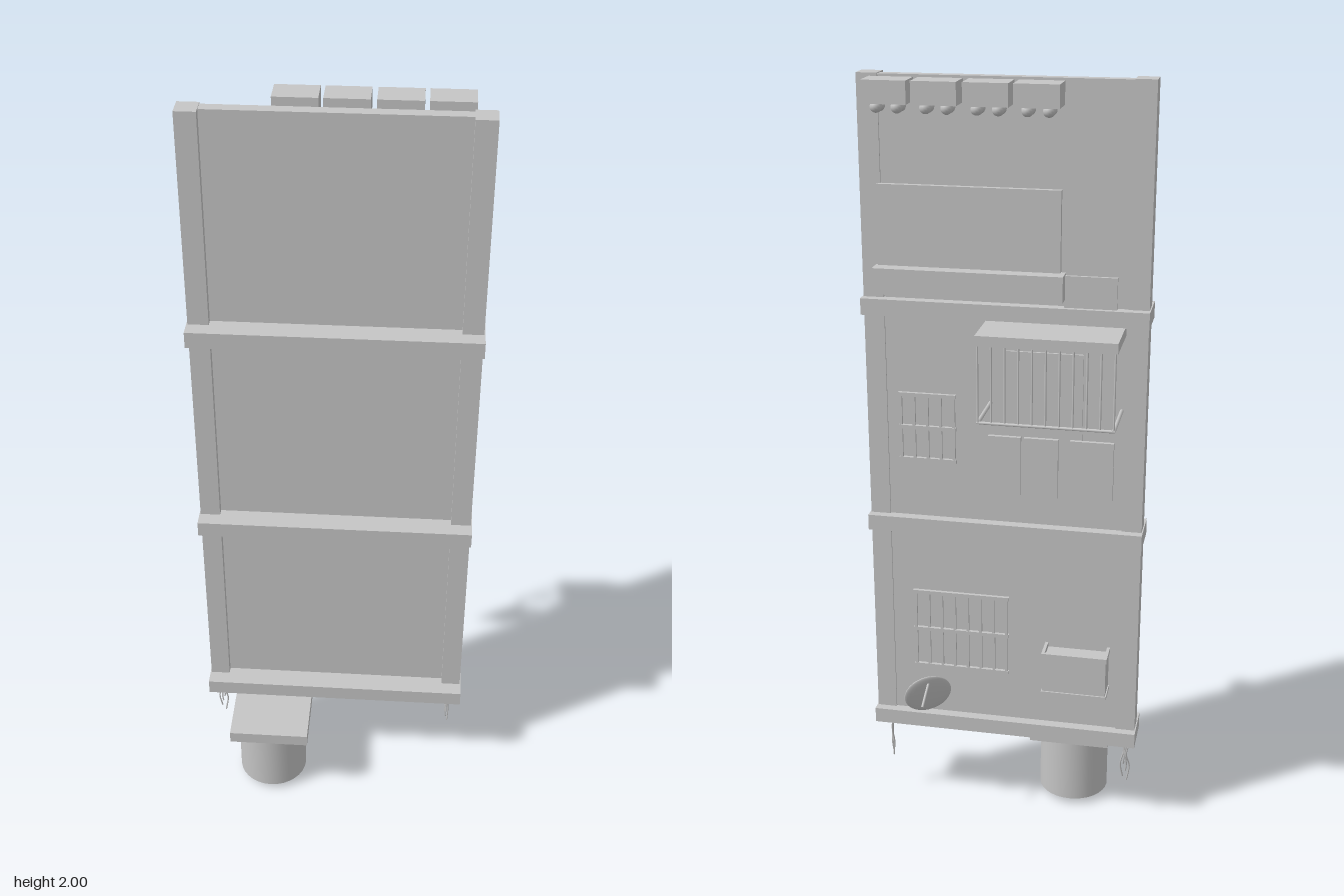
import * as THREE from 'three';

export function createModel() {
  const model = new THREE.Group();
  const grey = new THREE.MeshStandardMaterial({ color: 0xc5c5c5 });
  grey.name = 'lightGrey';

  const add = (name, geometry, parent = model) => {
    const mesh = new THREE.Mesh(geometry, grey);
    mesh.name = name;
    parent.add(mesh);
    return mesh;
  };
  // box given by its limits on each axis
  const box = (name, x0, x1, y0, y1, z0, z1, parent) => {
    const m = add(name, new THREE.BoxGeometry(x1 - x0, y1 - y0, z1 - z0), parent);
    m.position.set((x0 + x1) / 2, (y0 + y1) / 2, (z0 + z1) / 2);
    return m;
  };
  // round bar between two points
  const rod = (name, a, b, r, parent) => {
    const p = new THREE.Vector3(...a), q = new THREE.Vector3(...b);
    const m = add(name, new THREE.CylinderGeometry(r, r, p.distanceTo(q), 8), parent);
    m.position.copy(p).add(q).multiplyScalar(0.5);
    m.quaternion.setFromUnitVectors(new THREE.Vector3(0, 1, 0), q.sub(p).normalize());
    return m;
  };
  const group = (name) => {
    const g = new THREE.Group();
    g.name = name;
    model.add(g);
    return g;
  };

  // wall, corner pillars and floor ledges
  box('wall', -0.308, 0.308, 0.26, 1.998, -0.04, -0.01);
  for (const s of [-1, 1]) {
    const pillar = box('pillar', -0.026, 0.026, 0.26, 2, -0.045, 0.01);
    pillar.position.x = s * 0.332;
  }
  for (const y of [0.264, 0.849, 1.435]) box('ledge', -0.361, 0.361, y - 0.021, y + 0.021, -0.067, 0.05);

  // hanging drum under the front
  const drum = group('drum');
  box('drumPlate', -0.283, -0.066, 0.203, 0.237, -0.017, 0.2, drum);
  const cylinders = [['drumBody', 0.095, 0.017, 0.204], ['drumCap', 0.04, 0, 0.018]];
  for (const [name, r, y0, y1] of cylinders) {
    const c = add(name, new THREE.CylinderGeometry(r, r, y1 - y0, 32), drum);
    c.position.set(-0.175, (y0 + y1) / 2, 0.092);
  }

  // loose cables below both pillars
  const cables = group('cables');
  for (const [x, spread] of [[-0.332, 0.016], [0.326, 0.005]]) {
    for (let i = 0; i < 4; i++) {
      const d = (i - 1.5) / 1.5, end = 0.115 + (i % 3) * 0.025;
      const path = new THREE.CatmullRomCurve3([
        new THREE.Vector3(x + d * spread, 0.25, -0.02 + d * 0.014),
        new THREE.Vector3(x + d * spread * 0.3, 0.2, -0.022 + d * 0.011),
        new THREE.Vector3(x + d * spread * 0.8, 0.16, -0.02 + d * 0.004),
        new THREE.Vector3(x + d * spread * 0.4, end, -0.018 + d * 0.008),
      ]);
      add('cable', new THREE.TubeGeometry(path, 12, 0.0022, 5), cables);
    }
  }

  // row of lamp boxes with bulbs underneath
  const lamps = group('lamps');
  for (const x of [-0.098, 0.02, 0.141, 0.259]) {
    box('lampBox', x - 0.0535, x + 0.0535, 1.944, 1.998, -0.163, -0.09, lamps);
    for (const dx of [-0.025, 0.025]) for (const z of [-0.109, -0.137]) {
      const bulb = add('bulb', new THREE.SphereGeometry(0.0145, 14, 10), lamps);
      bulb.position.set(x + dx, 1.935, z);
    }
  }

  // billboard, its sill and the small plate beside it
  box('billboard', -0.14, 0.315, 1.53, 1.74, -0.054, -0.039);
  box('billboardSill', -0.152, 0.322, 1.475, 1.54, -0.09, -0.04);
  box('smallPlate', -0.28, -0.15, 1.455, 1.535, -0.055, -0.047);

  // awning with the hanging railing
  const awning = group('awning');
  box('awningRoof', -0.303, 0.042, 1.39, 1.416, -0.2, -0.04, awning);
  for (const x of [-0.297, 0.036]) {
    rod('railArm', [x, 1.195, -0.04], [x, 1.195, -0.197], 0.005, awning);
  }
  rod('rail', [-0.3, 1.195, -0.194], [0.04, 1.195, -0.194], 0.004, awning);
  for (let i = 0; i < 11; i++) {
    const x = -0.297 + i * 0.0333;
    rod('railBar', [x, 1.195, -0.194], [x, 1.392, -0.194], 0.0025, awning);
  }

  // door and hanging cloths
  box('door', -0.2, -0.005, 0.975, 1.335, -0.046, -0.039);
  for (const [x0, x1] of [[-0.065, 0.017], [-0.158, -0.073], [-0.295, -0.187]]) {
    box('cloth', x0, x1, 1, 1.153, -0.167, -0.157);
  }

  // barred windows
  const windowGrille = (x0, x1, y0, y1, bars) => {
    const g = group('windowGrille');
    for (let i = 0; i < bars; i++) {
      const x = x0 + 0.006 + (x1 - x0 - 0.012) * i / (bars - 1);
      box('windowBar', x - 0.0035, x + 0.0035, y0, y1, -0.063, -0.056, g);
    }
    for (const y of [y0 + 0.005, (y0 + y1) / 2, y1 - 0.005]) {
      box('windowCrossBar', x0, x1, y - 0.005, y + 0.005, -0.064, -0.055, g);
    }
  };
  windowGrille(0.122, 0.272, 1.03, 1.215, 5);
  windowGrille(-0.015, 0.245, 0.43, 0.66, 8);

  // cooling unit with base and top frame
  const cooler = group('coolingUnit');
  box('coolerBody', -0.282, -0.114, 0.415, 0.515, -0.104, -0.04, cooler);
  box('coolerBase', -0.285, -0.111, 0.405, 0.415, -0.108, -0.04, cooler);
  box('coolerFrame', -0.285, -0.111, 0.515, 0.528, -0.108, -0.1, cooler);
  for (const x of [-0.281, -0.115]) {
    box('coolerBracket', x - 0.004, x + 0.004, 0.515, 0.528, -0.104, -0.04, cooler);
  }

  // satellite dish, turned outward, and its arm
  const dish = add('dish', new THREE.SphereGeometry(0.065, 28, 16));
  dish.scale.z = 0.13;
  dish.rotation.set(-0.305, 0.49, 0, 'YXZ');
  dish.position.set(0.2, 0.372, -0.105);
  rod('dishArm', [0.194, 0.412, -0.118], [0.194, 0.378, -0.19], 0.0035);

  return model;
}
